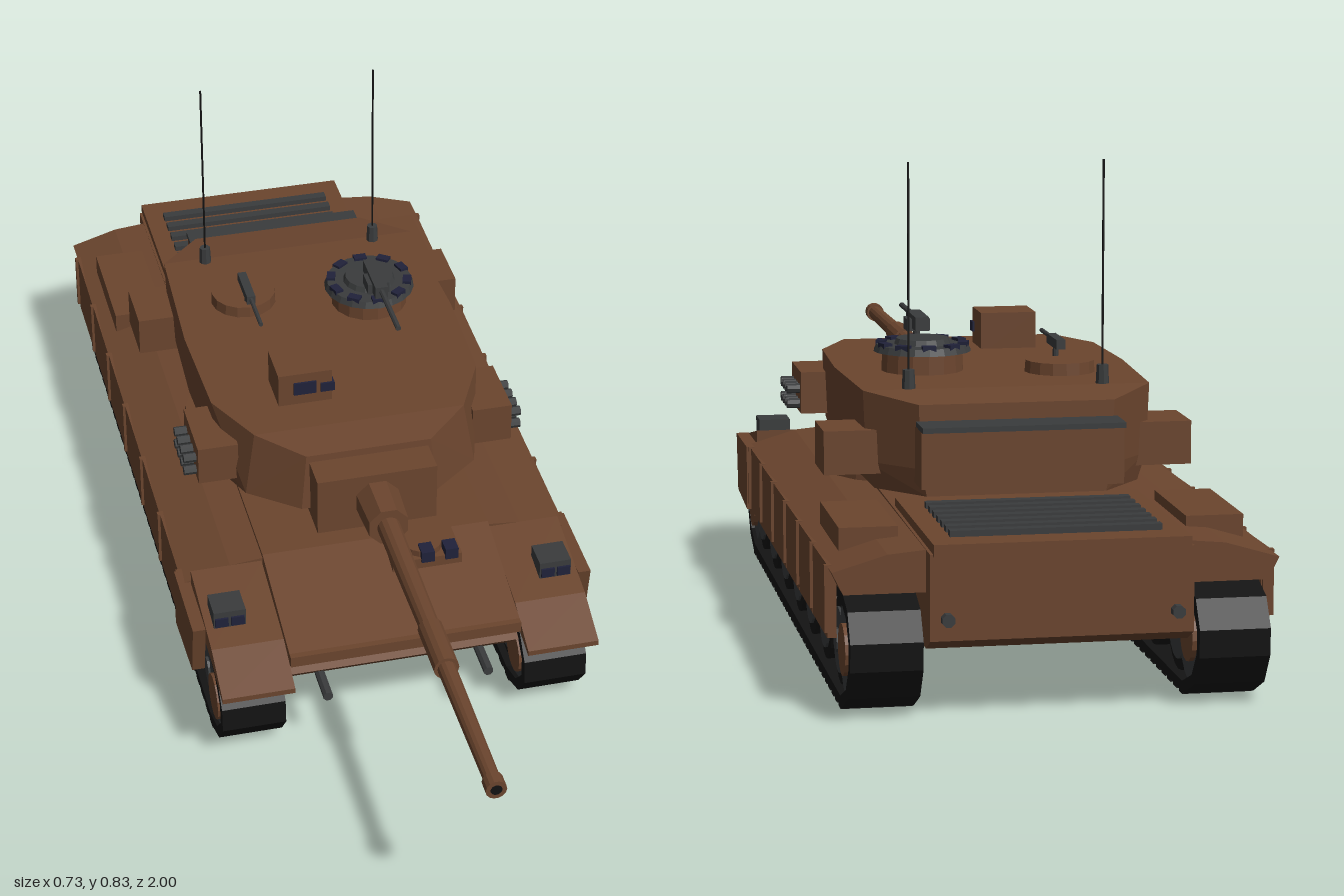
import * as THREE from 'three';
import { ConvexGeometry } from 'three/addons/geometries/ConvexGeometry.js';

const mat = (name, color) => new THREE.MeshStandardMaterial({ name, color, flatShading: true });

export function createModel() {
  const brown = mat('brown paint', 0x6b452e);
  const grey = mat('dark grey metal', 0x3a3c3d);
  const black = mat('black rubber', 0x131313);
  const navy = mat('dark blue glass', 0x20223a);
  const root = new THREE.Group();
  root.name = 'tank';

  const add = (name, geo, m) => {
    const mesh = new THREE.Mesh(geo, m);
    mesh.name = name;
    root.add(mesh);
    return mesh;
  };
  // Box given by its limits on each axis
  const box = (name, m, x0, x1, y0, y1, z0, z1) => {
    const b = add(name, new THREE.BoxGeometry(Math.abs(x1 - x0), y1 - y0, Math.abs(z1 - z0)), m);
    b.position.set((x0 + x1) / 2, (y0 + y1) / 2, (z0 + z1) / 2);
    return b;
  };
  // Cylinder along an axis, centred on a point
  const cyl = (name, m, axis, r0, r1, len, x, y, z, sides = 16) => {
    const g = new THREE.CylinderGeometry(r1, r0, len, sides);
    if (axis === 'x') g.rotateZ(-Math.PI / 2);
    if (axis === 'z') g.rotateY(Math.PI / sides).rotateX(Math.PI / 2);
    const c = add(name, g, m);
    c.position.set(x, y, z);
    return c;
  };
  const toShape = pts => new THREE.Shape(pts.map(p => new THREE.Vector2(p[0], p[1])));
  // Side profile of (z, y) points, extruded across x
  const profile = (name, m, pts, x0, x1, hole) => {
    const s = toShape(pts);
    if (hole) s.holes.push(new THREE.Path(hole.map(p => new THREE.Vector2(p[0], p[1]))));
    const w = Math.abs(x1 - x0);
    const g = new THREE.ExtrudeGeometry(s, { depth: w, bevelEnabled: false });
    g.translate(0, 0, -w / 2).rotateY(-Math.PI / 2).translate((x0 + x1) / 2, 0, 0);
    return add(name, g, m);
  };

  // Hull
  profile('hull', brown, [[-0.98, 0.13], [-0.94, 0.11], [0.35, 0.11], [0.415, 0.17], [0.4, 0.178],
    [0.42, 0.2], [0.42, 0.218], [0.2, 0.275], [-0.98, 0.268]], -0.21, 0.21);
  box('splashBar', brown, -0.21, 0.21, 0.198, 0.219, 0.405, 0.428);
  box('engineDeck', brown, -0.205, 0.205, 0.265, 0.284, -0.985, -0.6);
  cyl('turretRing', brown, 'y', 0.27, 0.265, 0.025, 0, 0.272, -0.2, 24);
  for (let i = 0; i < 7; i++)
    box('engineGrille', grey, -0.17, 0.17, 0.28, 0.294, -0.93 + i * 0.038, -0.912 + i * 0.038);

  // Driver hatch and periscopes on the glacis
  box('driverHatchBase', brown, 0.012, 0.14, 0.255, 0.276, 0.2, 0.28);
  cyl('driverHatch', brown, 'y', 0.036, 0.036, 0.014, 0.075, 0.281, 0.24);
  for (const x of [0.032, 0.076, 0.12]) box('driverPeriscope', navy, x - 0.012, x + 0.012, 0.27, 0.292, 0.255, 0.285);

  // Parts mirrored on both sides
  const belt = [[0.33, 0.004], [0.39, 0.028], [0.428, 0.075], [0.425, 0.12], [0.385, 0.165], [0.33, 0.182],
    [-0.9, 0.192], [-0.95, 0.175], [-0.98, 0.13], [-0.978, 0.085], [-0.945, 0.035], [-0.88, 0.004]];
  const inner = belt.map(([z, y]) => [-0.275 + (z + 0.275) * 0.974, 0.098 + (y - 0.098) * 0.82]);
  for (const s of [1, -1]) {
    profile('trackBelt', black, belt, s * 0.22, s * 0.335, inner);
    for (let i = 0; i < 30; i++)
      box('trackPad', black, s * 0.22, s * 0.335, 0, 0.012, 0.33 - i * 0.0405, 0.306 - i * 0.0405);
    // Road wheels
    for (let i = 0; i < 7; i++) {
      const z = 0.27 - i * 0.176;
      cyl('tyre', black, 'x', 0.072, 0.072, 0.09, s * 0.278, 0.093, z, 20);
      cyl('wheelDisc', grey, 'x', 0.054, 0.054, 0.098, s * 0.278, 0.093, z);
      cyl('wheelHub', grey, 'x', 0.02, 0.02, 0.108, s * 0.278, 0.093, z, 10);
    }
    for (const [z, y, r] of [[0.35, 0.092, 0.068], [-0.89, 0.102, 0.08]]) {
      cyl('endWheel', grey, 'x', r, r, 0.1, s * 0.278, y, z, 18);
      cyl('endWheelHub', brown, 'x', 0.042, 0.042, 0.116, s * 0.278, y, z);
    }
    // Fender with sloping top
    const fender = toShape([[0.205, 0.2], [0.34, 0.2], [0.358, 0.236], [0.27, 0.262], [0.205, 0.268]].map(([x, y]) => [x * s, y]));
    add('fender', new THREE.ExtrudeGeometry(fender, { depth: 1.14, bevelEnabled: false }), brown).position.z = -0.94;
    profile('mudguard', brown, [[0.2, 0.2], [0.38, 0.195], [0.47, 0.175], [0.47, 0.185], [0.38, 0.225], [0.2, 0.262]], s * 0.212, s * 0.342);
    // Skirt panels with seams
    for (let i = 0; i < 7; i++) {
      const z = 0.335 - i * 0.175;
      const out = i === 0 ? 0.366 : 0.358;
      profile('skirtPanel', brown, [[z - 0.171, 0.12], [i ? z : z - 0.02, i ? 0.12 : 0.13], [z, 0.235], [z - 0.171, 0.238]], s * 0.343, s * out);
      box('skirtStrap', brown, s * 0.345, s * 0.363, 0.13, 0.238, z - 0.176, z - 0.166);
    }
    // Stowage, lights and tow gear
    box('fenderBox', brown, s * 0.235, s * 0.33, 0.24, 0.282, -0.82, -0.6);
    box('headlight', grey, s * 0.27, s * 0.328, 0.222, 0.268, 0.28, 0.335);
    for (const x of [0.285, 0.314]) box('headlightLens', navy, s * (x - 0.012), s * (x + 0.012), 0.238, 0.256, 0.332, 0.339);
    cyl('towEye', grey, 'z', 0.009, 0.009, 0.07, s * 0.147, 0.132, 0.41, 8);
    cyl('rearTowEye', grey, 'z', 0.011, 0.011, 0.02, s * 0.183, 0.165, -0.985, 8);

    // Turret side boxes and smoke dischargers
    box('turretBox', brown, s * 0.2, s * 0.314, 0.312, 0.386, -0.53, -0.42);
    box('dischargerMount', brown, s * 0.22, s * 0.294, 0.34, 0.415, -0.08, 0.05);
    for (let r = 0; r < 2; r++) for (let i = 0; i < 4; i++)
      cyl('smokeTube', grey, 'x', 0.009, 0.009, 0.04, s * 0.297, 0.356 + r * 0.027, -0.058 + i * 0.028, 8);
    // Antennas
    cyl('antennaBase', grey, 'y', 0.012, 0.01, 0.04, s * 0.166, 0.462, -0.5, 8);
    cyl('antenna', black, 'y', 0.002, 0.002, 0.35, s * 0.166, 0.655, -0.5, 5);
  }

  // Turret body from three cross-sections of one plan outline
  const plan = [[0.115, 0.155], [0.195, 0.085], [0.25, -0.04], [0.257, -0.25], [0.245, -0.51], [0.165, -0.6]];
  const pts = [];
  for (const s of [1, -1]) for (const [x, z] of plan) {
    const end = z > 0.1 || z < -0.55;
    pts.push(new THREE.Vector3(s * x * 0.92, 0.284, z > 0 ? z - 0.06 : z));
    pts.push(new THREE.Vector3(s * x * (z > 0 ? 1.1 : 0.98), 0.33, z));
    pts.push(new THREE.Vector3(s * x, end ? 0.438 : 0.45, z > 0 ? z - 0.01 : z));
  }
  add('turret', new ConvexGeometry(pts), brown);
  box('bustleRack', brown, -0.17, 0.17, 0.306, 0.402, -0.655, -0.58);
  box('bustleLid', grey, -0.17, 0.17, 0.402, 0.411, -0.67, -0.602);

  // Gun
  box('mantlet', brown, -0.11, 0.11, 0.313, 0.425, 0.1, 0.21);
  cyl('gunCollar', brown, 'z', 0.042, 0.038, 0.085, 0, 0.37, 0.25, 8);
  cyl('gunBarrel', brown, 'z', 0.019, 0.014, 0.72, 0, 0.37, 0.63, 14);
  cyl('boreEvacuator', brown, 'z', 0.022, 0.022, 0.11, 0, 0.37, 0.635, 14);
  cyl('thermalSleeve', brown, 'z', 0.021, 0.018, 0.29, 0, 0.37, 0.435, 14);
  cyl('muzzle', brown, 'z', 0.018, 0.018, 0.025, 0, 0.37, 0.987, 14);
  cyl('muzzleBore', black, 'z', 0.01, 0.01, 0.004, 0, 0.37, 0.998, 12);

  // Gunner sight
  box('sightHousing', brown, -0.133, -0.033, 0.44, 0.515, -0.085, 0.0);
  box('sightLens', navy, -0.105, -0.063, 0.472, 0.497, -0.003, 0.004);
  box('sightLensSmall', navy, -0.055, -0.029, 0.472, 0.49, -0.02, 0.004);

  // Commander cupola with ring of periscopes
  cyl('cupola', brown, 'y', 0.072, 0.07, 0.04, 0.11, 0.466, -0.3);
  cyl('cupolaRing', grey, 'y', 0.085, 0.08, 0.012, 0.11, 0.49, -0.3, 20);
  cyl('cupolaHatch', grey, 'y', 0.05, 0.045, 0.012, 0.11, 0.5, -0.3);
  for (let i = 0; i < 10; i++) {
    const a = (i / 10) * Math.PI * 2;
    const p = box('cupolaPeriscope', navy, -0.012, 0.012, 0.486, 0.501, -0.008, 0.008);
    p.position.x = 0.11 + Math.sin(a) * 0.072;
    p.position.z = -0.3 + Math.cos(a) * 0.072;
    p.rotation.y = a;
  }
  cyl('machineGunPost', grey, 'y', 0.006, 0.006, 0.03, 0.11, 0.51, -0.24, 8);
  box('machineGunBody', grey, 0.098, 0.122, 0.517, 0.541, -0.3, -0.2);
  box('ammunitionBox', grey, 0.09, 0.131, 0.512, 0.533, -0.265, -0.225);
  cyl('machineGunBarrel', grey, 'z', 0.005, 0.005, 0.13, 0.11, 0.532, -0.14, 8);

  // Second crew hatch and light gun
  cyl('crewHatch', brown, 'y', 0.062, 0.06, 0.025, -0.122, 0.458, -0.355);
  cyl('lightGunPost', grey, 'y', 0.005, 0.005, 0.03, -0.122, 0.48, -0.32, 8);
  box('lightGunBody', grey, -0.13, -0.114, 0.488, 0.505, -0.365, -0.28);
  cyl('lightGunBarrel', grey, 'z', 0.004, 0.004, 0.09, -0.122, 0.498, -0.24, 8);

  return root;
}
